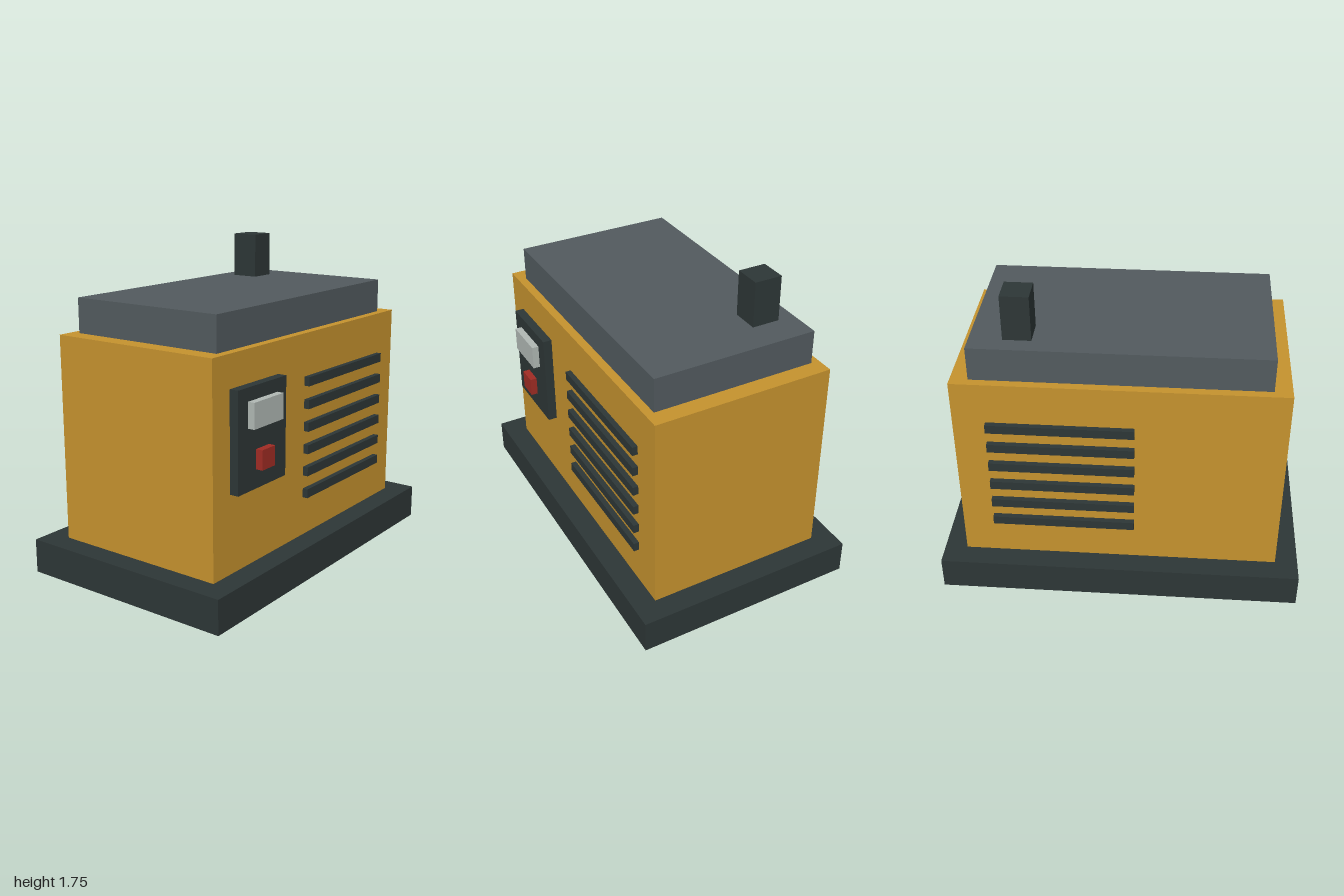
import * as THREE from 'three';

const material = (name, color) => {
  const m = new THREE.MeshStandardMaterial({ color });
  m.name = name;
  return m;
};

export function createModel() {
  const model = new THREE.Group();
  model.name = 'generator';

  const yellow = material('housing yellow', 0xc5922e);
  const dark = material('dark charcoal', 0x2d3636);
  const grey = material('slate grey', 0x525a5e);
  const pale = material('pale grey', 0xb0b8b4);
  const red = material('switch red', 0xa02c24);

  // Box given by its lower and upper bounds on each axis
  const box = (name, mat, [x0, x1], [y0, y1], [z0, z1]) => {
    const mesh = new THREE.Mesh(new THREE.BoxGeometry(x1 - x0, y1 - y0, z1 - z0), mat);
    mesh.position.set((x0 + x1) / 2, (y0 + y1) / 2, (z0 + z1) / 2);
    mesh.name = name;
    model.add(mesh);
  };

  // Main stack
  box('base', dark, [-1, 1], [0, 0.1875], [-0.625, 0.625]);
  box('housing', yellow, [-0.875, 0.875], [0.1875, 1.3125], [-0.5, 0.5]);
  box('lid', grey, [-0.78, 0.78], [1.3125, 1.5], [-0.453, 0.453]);
  box('exhaust', dark, [0.455, 0.605], [1.5, 1.75], [-0.358, -0.205]);

  // Control panel
  box('controlPanel', dark, [-0.74, -0.33], [0.61, 1.14], [0.5, 0.55]);
  box('display', pale, [-0.66, -0.41], [0.935, 1.07], [0.55, 0.588]);
  box('switch', red, [-0.59, -0.48], [0.71, 0.815], [0.55, 0.588]);

  // Vent slats, front and back
  for (let i = 0; i < 6; i++) {
    const y = 0.43 + i * 0.125;
    box('frontVentSlat', dark, [-0.08, 0.7], [y - 0.025, y + 0.025], [0.5, 0.53]);
    box('backVentSlat', dark, [-0.08, 0.7], [y - 0.025, y + 0.025], [-0.53, -0.5]);
  }
  return model;
}
